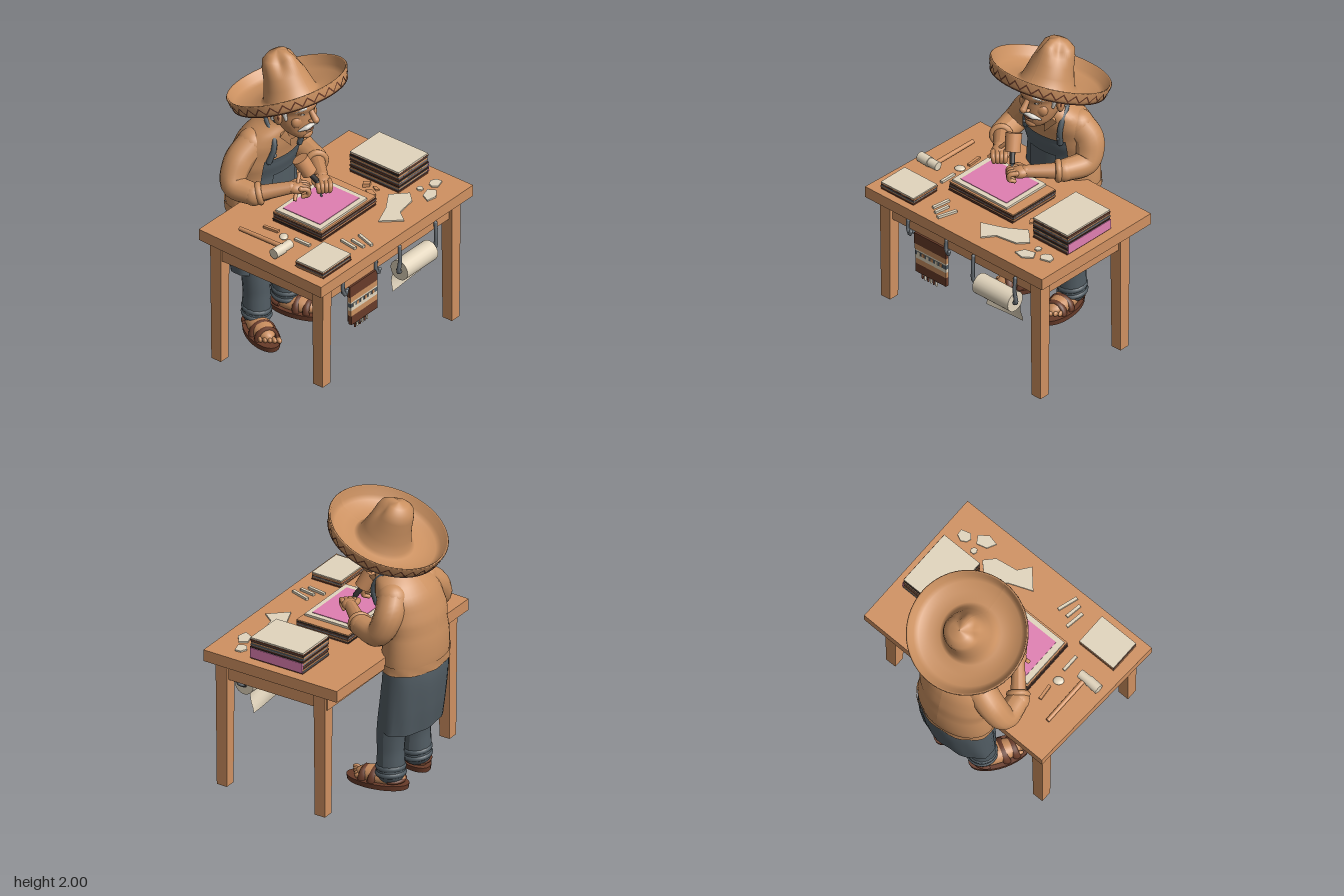
import * as THREE from 'three';

const mat = (name, color, side = THREE.FrontSide) => {
  const m = new THREE.MeshStandardMaterial({ color, side });
  m.name = name;
  return m;
};
const V = (a) => new THREE.Vector3(...a);

export function createModel() {
  const root = new THREE.Group();
  const tan = mat('tan cloth and straw', 0xca9060, THREE.DoubleSide), wood = mat('table wood', 0xd09161);
  const skin = mat('skin', 0xc68b5d), denim = mat('denim', 0x525d64, THREE.DoubleSide);
  const cream = mat('paper cream', 0xe2d5bd, THREE.DoubleSide), pink = mat('pink print', 0xe07fb2);
  const brown = mat('dark brown', 0x683b29, THREE.DoubleSide), dark = mat('near black', 0x33302f);
  const white = mat('white hair', 0xdcd8d0, THREE.DoubleSide), grey = mat('steel grey', 0x6b7278, THREE.DoubleSide);

  let seed = 7;
  const rnd = () => ((seed = (seed * 16807) % 2147483647) / 2147483647) - 0.5;

  // ---------- helpers ----------
  const add = (name, geo, m, p = [0, 0, 0], r = [0, 0, 0], parent = root) => {
    const mesh = new THREE.Mesh(geo, m);
    mesh.name = name;
    mesh.position.set(...p);
    mesh.rotation.set(...r);
    parent.add(mesh);
    return mesh;
  };
  const box = (name, m, x0, x1, y0, y1, z0, z1) =>
    add(name, new THREE.BoxGeometry(x1 - x0, y1 - y0, z1 - z0), m, [(x0 + x1) / 2, (y0 + y1) / 2, (z0 + z1) / 2]);
  const ball = (name, m, p, s, r, parent) => {
    const b = add(name, new THREE.SphereGeometry(1, 24, 16), m, p, r, parent);
    b.scale.set(...s);
    return b;
  };
  const rod = (name, m, a, b, r1, r2 = r1) => {
    const A = V(a), d = V(b).sub(A);
    const c = add(name, new THREE.CylinderGeometry(r2, r1, d.length(), 20), m, A.clone().addScaledVector(d, 0.5).toArray());
    c.quaternion.setFromUnitVectors(new THREE.Vector3(0, 1, 0), d.normalize());
    return c;
  };
  // Tapered tube with ball ends
  const limb = (name, m, pts, radii, parent = root) => {
    const n = 20, k = 14;
    const g = new THREE.TubeGeometry(new THREE.CatmullRomCurve3(pts.map(V)), n, 1, k);
    const P = g.attributes.position, N = g.attributes.normal;
    for (let i = 0; i < P.count; i++) {
      const t = (Math.floor(i / (k + 1)) / n) * (radii.length - 1), j = Math.min(Math.floor(t), radii.length - 2);
      const s = THREE.MathUtils.lerp(radii[j], radii[j + 1], t - j) - 1;
      P.setXYZ(i, P.getX(i) + N.getX(i) * s, P.getY(i) + N.getY(i) * s, P.getZ(i) + N.getZ(i) * s);
    }
    g.computeVertexNormals();
    add(name, g, m, undefined, undefined, parent);
    [0, radii.length - 1].forEach((i) => ball(name + 'End', m, pts[i ? pts.length - 1 : 0], [radii[i], radii[i], radii[i]], undefined, parent));
  };
  // Elliptical sections [y, cx, cz, rx, rz] joined into a skin; angle 0 faces the front
  const loft = (name, m, secs, { a0 = -Math.PI, a1 = Math.PI, off = 0, fold = 0 } = {}) => {
    const mid = new THREE.CatmullRomCurve3(secs.map((s) => new THREE.Vector3(s[1], s[0], s[2])));
    const rad = new THREE.CatmullRomCurve3(secs.map((s) => new THREE.Vector3(s[3], s[4], 0)));
    const n = 40, rows = 24, pos = [], idx = [];
    for (let j = 0; j <= rows; j++) {
      const c = mid.getPoint(j / rows), r = rad.getPoint(j / rows);
      for (let i = 0; i <= n; i++) {
        const a = a0 + ((a1 - a0) * i) / n, f = off + fold * Math.sin(a * 9 + j * 0.12) * (1 - j / rows);
        pos.push(c.x + (r.x + f) * Math.sin(a), c.y, c.z + (r.y + f) * Math.cos(a));
        const q = j * (n + 1) + i;
        if (i < n && j < rows) idx.push(q, q + 1, q + n + 2, q, q + n + 2, q + n + 1);
      }
    }
    const g = new THREE.BufferGeometry();
    g.setAttribute('position', new THREE.Float32BufferAttribute(pos, 3));
    g.setIndex(idx);
    g.computeVertexNormals();
    return add(name, g, m);
  };
  // Flat cut-out lying on the table, outline given as x, z pairs
  const scrap = (name, m, pts, h = 0.01, y = 0.98) => {
    const s = new THREE.Shape(pts.map(([x, z]) => new THREE.Vector2(x, -z)));
    return add(name, new THREE.ExtrudeGeometry(s, { depth: h, bevelEnabled: false }), m, [0, y, 0], [-Math.PI / 2, 0, 0]);
  };
  const stack = (name, x0, x1, z0, z1, y0, y1, n, mats, topMat) => {
    const h = (y1 - y0) / n;
    for (let i = 0; i < n; i++) {
      const top = i === n - 1, dx = top ? 0 : rnd() * 0.008, dz = top ? 0 : rnd() * 0.008;
      box(name, top ? topMat : mats[i % mats.length], x0 + dx, x1 + dx, y0 + i * h, y0 + (i + 1) * h, z0 + dz, z1 + dz);
    }
  };

  // ---------- table ----------
  scrap('tableTop', wood, [[-0.765, 0.635], [0.76, 0.635], [0.76, -0.373], [-0.725, -0.39]], 0.08, 0.9);
  box('tableUnderside', brown, -0.61, 0.62, 0.893, 0.9, -0.21, 0.52);
  // Legs as [x, z, foot height]; one front leg stops short and one back leg stands further back
  for (const [x, z, foot] of [[-0.642, 0.54, 0.16], [-0.638, -0.29, 0.012], [0.655, 0.54, 0.005], [0.655, -0.2, 0.005]]) {
    const leg = add('tableLeg', new THREE.CylinderGeometry(0.062, 0.054, 0.9 - foot, 4, 1, false, Math.PI / 4).toNonIndexed(), wood, [x, (0.9 + foot) / 2, z]);
    leg.geometry.computeVertexNormals();
  }
  for (const z of [0.54, -0.23]) box('tableRail', wood, -0.62, 0.63, 0.77, 0.9, z - 0.02, z + 0.02);
  for (const x of [-0.645, 0.655]) box('tableSideRail', wood, x - 0.025, x + 0.025, 0.77, 0.9, -0.25, 0.56);

  // ---------- things on the table ----------
  stack('middleSheets', -0.35, 0.2, -0.09, 0.3, 0.98, 1.045, 8, [brown, dark, wood, brown, grey], wood);
  box('topSheet', cream, -0.34, 0.13, 1.045, 1.06, -0.08, 0.285);
  box('pinkPrint', pink, -0.3, 0.095, 1.06, 1.064, -0.05, 0.25);
  stack('tallSheets', 0.395, 0.69, -0.07, 0.325, 0.98, 1.13, 14, [brown, grey, wood, dark], cream);
  box('pinkSide', pink, 0.69, 0.698, 0.99, 1.06, -0.07, 0.325);
  stack('smallSheets', -0.68, -0.4, 0.36, 0.58, 0.98, 1.03, 6, [brown, wood, grey], cream);
  rod('hammerHandle', wood, [-0.585, 1.005, -0.17], [-0.585, 1.01, 0.2], 0.014, 0.016);
  rod('hammerHead', cream, [-0.7, 1.02, 0.195], [-0.61, 1.02, 0.2], 0.034);
  rod('hammerNeck', cream, [-0.61, 1.02, 0.2], [-0.54, 1.02, 0.2], 0.03);
  for (const [x, z, len, a] of [[-0.445, -0.03, 0.11, 0.1], [-0.44, 0.22, 0.12, 0], [-0.275, 0.46, 0.13, -0.15], [-0.23, 0.5, 0.11, -0.15], [-0.17, 0.515, 0.14, -0.3]])
    add('smallTool', new THREE.BoxGeometry(0.02, 0.016, len), z < 0 ? wood : cream, [x, 0.988, z], [0, a, 0]);
  scrap('bowScrap', cream, [[0.05, 0.44], [0.16, 0.56], [0.22, 0.48], [0.37, 0.455], [0.43, 0.39], [0.33, 0.295], [0.2, 0.38]]);
  scrap('roundScrap', cream, [[0.43, 0.53], [0.46, 0.47], [0.53, 0.45], [0.56, 0.5], [0.5, 0.545]]);
  scrap('roundScrap', cream, [[0.575, 0.45], [0.585, 0.42], [0.62, 0.4], [0.66, 0.42], [0.665, 0.46], [0.6, 0.48]]);
  scrap('roundScrap', cream, [[0.49, 0.405], [0.5, 0.385], [0.525, 0.385], [0.535, 0.405], [0.52, 0.425], [0.5, 0.425]]);
  scrap('woodScrap', wood, [[0.25, 0.2], [0.28, 0.15], [0.31, 0.18], [0.28, 0.235]]);
  scrap('woodScrap', wood, [[0.3, 0.11], [0.33, 0.09], [0.36, 0.13], [0.33, 0.14]], 0.025);
  scrap('woodScrap', wood, [[0.32, 0.2], [0.34, 0.16], [0.355, 0.18], [0.34, 0.215]]);
  ball('pebble', cream, [-0.46, 0.985, 0.085], [0.035, 0.014, 0.028], [0, 0.6, 0]);

  // ---------- towel and paper roll ----------
  for (const x of [-0.46, -0.13]) limb('towelHook', grey, [[x, 0.83, 0.565], [x, 0.77, 0.567], [x + 0.02, 0.735, 0.57], [x + 0.03, 0.76, 0.572]], [0.012, 0.012]);
  rod('towelBar', grey, [-0.46, 0.755, 0.558], [-0.12, 0.755, 0.558], 0.01);
  const bands = [[0.77, 0.69, brown], [0.69, 0.65, tan], [0.65, 0.64, cream], [0.64, 0.61, denim], [0.61, 0.585, cream], [0.585, 0.545, tan], [0.545, 0.48, brown]];
  for (const [t, b, m] of bands) box('towelBand', m, -0.4 + (0.77 - t) * 0.06, -0.125, b, t, 0.55, 0.574);
  box('towelBack', brown, -0.39, -0.13, 0.5, 0.77, 0.544, 0.55);
  for (let i = 0; i < 6; i++) {
    rod('towelFringe', i % 2 ? cream : brown, [-0.34 + i * 0.024, 0.48, 0.562], [-0.335 + i * 0.024, 0.44, 0.562], 0.007);
    box('towelPattern', i % 2 ? tan : cream, -0.37 + i * 0.038, -0.35 + i * 0.038, 0.613, 0.637, 0.572, 0.577);
  }
  for (const x of [0.105, 0.465]) limb('rollHook', grey, [[x, 0.82, 0.568], [x, 0.72, 0.572], [x, 0.63, 0.56], [x + (x > 0.3 ? -0.04 : 0.04), 0.61, 0.54]], [0.012, 0.013, 0.016]);
  rod('paperRoll', cream, [0.135, 0.615, 0.54], [0.44, 0.615, 0.54], 0.07);
  for (const x of [0.133, 0.442]) rod('rollCore', dark, [x - 0.001, 0.615, 0.54], [x + 0.001, 0.615, 0.54], 0.022);
  const sheet = new THREE.PlaneGeometry(0.3, 0.2, 12, 8);
  for (let i = 0, P = sheet.attributes.position; i < P.count; i++) P.setZ(i, 0.01 * Math.sin(P.getY(i) * 28 + P.getX(i) * 8));
  sheet.computeVertexNormals();
  add('paperSheet', sheet, cream, [0.29, 0.53, 0.482], [0.06, 0, 0]);

  // ---------- body ----------
  const torso = [[0.87, -0.05, -0.43, 0.275, 0.18], [0.95, -0.05, -0.435, 0.275, 0.185], [1.1, -0.05, -0.435, 0.265, 0.18], [1.25, -0.05, -0.41, 0.265, 0.18], [1.36, -0.04, -0.38, 0.255, 0.175], [1.45, -0.03, -0.34, 0.2, 0.15], [1.51, -0.02, -0.3, 0.12, 0.12], [1.55, -0.02, -0.28, 0.09, 0.1]];
  loft('shirt', tan, torso);
  loft('shirtHem', tan, [torso[0], [0.93, -0.05, -0.432, 0.275, 0.182]], { off: 0.01, fold: 0.004 });
  loft('apronBib', denim, torso.slice(0, 4).concat([[1.29, -0.05, -0.4, 0.262, 0.178]]), { a0: -0.72, a1: 0.72, off: 0.012 });
  loft('bibPocket', denim, [[1.0, -0.05, -0.435, 0.275, 0.185], [1.16, -0.05, -0.43, 0.265, 0.18]], { a0: -0.4, a1: 0.4, off: 0.02 });
  limb('neckStrap', denim, [[-0.2, 1.28, -0.245], [-0.175, 1.38, -0.222], [-0.15, 1.46, -0.255], [-0.12, 1.52, -0.33], [-0.02, 1.535, -0.4], [0.08, 1.52, -0.33], [0.11, 1.46, -0.255], [0.115, 1.38, -0.222], [0.1, 1.28, -0.24]], [0.02, 0.017, 0.015, 0.017, 0.02]);
  for (const x of [-0.18, 0.11]) ball('strapButton', grey, [x, 1.33, -0.21], [0.013, 0.013, 0.007]);
  loft('apronSkirt', denim, [[0.43, -0.05, -0.41, 0.275, 0.15], [0.6, -0.05, -0.425, 0.275, 0.165], [0.8, -0.05, -0.435, 0.27, 0.178], [0.91, -0.05, -0.435, 0.265, 0.175]], { fold: 0.005 });
  add('skirtLining', new THREE.CircleGeometry(1, 32), brown, [-0.05, 0.5, -0.415], [Math.PI / 2, 0, 0]).scale.set(0.27, 0.15, 1);
  for (const s of [-1, 1]) {
    add('collar', new THREE.ConeGeometry(0.06, 0.13, 3), tan, [-0.02 + s * 0.065, 1.42, -0.19], [Math.PI - 0.25, 0, s * 0.35]).scale.z = 0.35;
    const x = -0.045 + s * 0.15;
    limb('trouserLeg', denim, [[x + s * -0.01, 0.72, -0.4], [x, 0.4, -0.355], [x, 0.12, -0.35]], [0.11, 0.102, 0.096, 0.088, 0.094]);
    for (const [y, r] of [[0.105, 0.08], [0.15, 0.078]]) add('trouserCuff', new THREE.TorusGeometry(r, 0.022, 10, 28), denim, [x, y, -0.35], [Math.PI / 2 + 0.1, s * 0.08, 0]);
    // Sandalled foot
    const foot = new THREE.Group();
    foot.name = 'foot';
    foot.position.set(s < 0 ? -0.265 : 0.11, 0, -0.255);
    foot.rotation.y = s < 0 ? -0.5 : 0.18;
    root.add(foot);
    add('sole', new THREE.CylinderGeometry(1, 0.97, 0.035, 32), brown, [0, 0.018, 0], undefined, foot).scale.set(0.1, 1, 0.213);
    ball('footBody', skin, [0, 0.06, -0.02], [0.075, 0.06, 0.17], undefined, foot);
    for (let i = 0; i < 5; i++) ball('toe', skin, [s * (-0.052 + i * 0.027), 0.053, 0.165 - i * 0.014], [0.017 - i * 0.001, 0.019, 0.028], undefined, foot);
    for (const [z, r] of [[0.09, 0.068], [0.02, 0.078]]) add('sandalStrap', new THREE.TorusGeometry(r, 0.016, 8, 24, Math.PI), brown, [0, 0.03, z], [-0.2, 0, 0], foot).scale.z = 1.6;
    add('heelStrap', new THREE.TorusGeometry(0.077, 0.014, 8, 24, Math.PI), brown, [0, 0.06, -0.1], [-Math.PI / 2, 0, 0], foot);
  }

  // ---------- arms, hands and tools ----------
  limb('rightSleeve', tan, [[-0.2, 1.37, -0.38], [-0.32, 1.28, -0.4], [-0.4, 1.16, -0.37], [-0.385, 1.14, -0.22]], [0.1, 0.095, 0.083, 0.073]);
  limb('leftSleeve', tan, [[0.13, 1.37, -0.38], [0.205, 1.28, -0.4], [0.235, 1.15, -0.34], [0.19, 1.14, -0.18]], [0.1, 0.095, 0.083, 0.072]);
  const arms = [['right', [-0.385, 1.14, -0.22], [-0.235, 1.19, -0.04], 0.75], ['left', [0.19, 1.14, -0.18], [0.03, 1.15, 0.0], -0.75]];
  for (const [side, a, b, yaw] of arms) {
    limb(side + 'Forearm', skin, [a, b], [0.055, 0.04]);
    const cuff = add(side + 'Cuff', new THREE.TorusGeometry(0.056, 0.022, 10, 24), tan, V(a).lerp(V(b), 0.15).toArray());
    cuff.lookAt(V(b));
    const hand = new THREE.Group();
    hand.name = side + 'Hand';
    hand.position.set(...b);
    hand.rotation.set(0.1, yaw, 0, 'YXZ');
    root.add(hand);
    ball('palm', skin, [0, 0, 0.035], [0.052, 0.038, 0.06], undefined, hand);
    for (let i = 0; i < 4; i++) {
      const x = -0.04 + i * 0.026;
      limb('finger', skin, [[x, 0.015, 0.06], [x, 0.01, 0.105], [x * 0.9, -0.025, 0.112], [x * 0.8, -0.045, 0.08]], [0.017, 0.016, 0.013], hand);
    }
    const t = side === 'left' ? -1 : 1;
    limb('thumb', skin, [[t * 0.03, 0.01, 0.01], [t * 0.06, 0.015, 0.05], [t * 0.045, 0, 0.09]], [0.02, 0.017, 0.014], hand);
  }
  rod('malletHead', wood, [-0.125, 1.345, -0.055], [-0.09, 1.24, -0.005], 0.054, 0.05);
  rod('malletHandle', dark, [-0.095, 1.245, -0.01], [-0.06, 1.18, 0.03], 0.018);
  rod('malletTip', grey, [-0.06, 1.18, 0.03], [-0.05, 1.07, 0.06], 0.012, 0.006);
  rod('carvingStick', wood, [-0.27, 1.13, 0.02], [-0.16, 1.27, -0.03], 0.012);

  // ---------- head ----------
  loft('neck', skin, [[1.4, -0.02, -0.27, 0.09, 0.09], [1.56, -0.01, -0.23, 0.085, 0.09]]);
  loft('head', skin, [[1.435, -0.01, -0.13, 0.01, 0.01], [1.445, -0.01, -0.135, 0.055, 0.055], [1.49, -0.01, -0.165, 0.098, 0.1], [1.56, -0.01, -0.19, 0.122, 0.132], [1.64, -0.01, -0.205, 0.13, 0.145], [1.73, -0.01, -0.215, 0.13, 0.145], [1.8, -0.01, -0.22, 0.11, 0.12]]);
  loft('backHair', grey, [[1.54, -0.01, -0.21, 0.115, 0.13], [1.63, -0.01, -0.215, 0.135, 0.155], [1.76, -0.01, -0.225, 0.13, 0.15]], { a0: 1.55, a1: 4.73, off: 0.012, fold: 0.004 });
  limb('nose', skin, [[-0.01, 1.665, -0.07], [-0.01, 1.625, -0.042], [-0.01, 1.593, -0.018]], [0.015, 0.019, 0.023]);
  limb('mouth', brown, [[-0.045, 1.515, -0.07], [-0.01, 1.513, -0.06], [0.025, 1.515, -0.07]], [0.006, 0.008, 0.006]);
  ball('lowerLip', skin, [-0.01, 1.502, -0.068], [0.035, 0.012, 0.016]);
  ball('chin', skin, [-0.01, 1.465, -0.09], [0.045, 0.03, 0.03]);
  for (const s of [-1, 1]) {
    const f = (x, y, z) => [-0.01 + s * x, y, z];
    ball('nostril', skin, f(0.02, 1.585, -0.04), [0.014, 0.012, 0.018]);
    ball('cheek', skin, f(0.06, 1.58, -0.115), [0.055, 0.05, 0.036]);
    ball('eyeWhite', white, f(0.052, 1.64, -0.083), [0.02, 0.011, 0.013]);
    ball('pupil', dark, f(0.05, 1.639, -0.074), [0.01, 0.01, 0.006]);
    limb('upperLid', skin, [f(0.026, 1.647, -0.073), f(0.052, 1.656, -0.073), f(0.08, 1.645, -0.092)], [0.008, 0.01, 0.008]);
    limb('eyebrow', white, [f(0.025, 1.675, -0.062), f(0.06, 1.69, -0.066), f(0.1, 1.665, -0.1)], [0.011, 0.015, 0.007]);
    limb('moustache', white, [f(0.0, 1.553, -0.045), f(0.04, 1.545, -0.052), f(0.085, 1.522, -0.088)], [0.014, 0.017, 0.006]);
    ball('ear', skin, f(0.145, 1.605, -0.21), [0.023, 0.052, 0.036], [0, s * 0.3, 0]);
    ball('earHollow', brown, f(0.159, 1.612, -0.198), [0.009, 0.026, 0.016], [0, s * 0.3, 0]);
    limb('sideburn', white, [f(0.13, 1.71, -0.17), f(0.134, 1.65, -0.165), f(0.126, 1.6, -0.16)], [0.025, 0.018, 0.01]);
    limb('sideHair', white, [f(0.135, 1.71, -0.22), f(0.152, 1.66, -0.245), f(0.142, 1.58, -0.255)], [0.026, 0.026, 0.014]);
  }

  // ---------- hat ----------
  const hat = new THREE.Group();
  hat.name = 'hat';
  hat.position.set(0, 1.705, -0.235);
  hat.rotation.x = -0.36;
  root.add(hat);
  const profile = [[0.001, -0.04], [0.16, -0.045], [0.3, -0.025], [0.36, -0.005], [0.377, 0.004], [0.385, 0.03], [0.398, 0.08], [0.393, 0.087], [0.384, 0.082], [0.362, 0.03], [0.335, 0.008], [0.27, -0.008], [0.2, -0.012], [0.175, 0.005], [0.155, 0.07], [0.137, 0.14], [0.127, 0.21], [0.112, 0.26], [0.068, 0.293], [0.001, 0.302]];
  const hatGeo = new THREE.LatheGeometry(profile.map(([r, y]) => new THREE.Vector2(r, y)), 72);
  // Press two dents into the front of the crown
  for (let i = 0, P = hatGeo.attributes.position; i < P.count; i++) {
    const p = new THREE.Vector3().fromBufferAttribute(P, i);
    if (p.y < 0.1) continue;
    for (const s of [-1, 1]) {
      const d = p.distanceTo(new THREE.Vector3(s * 0.085, 0.25, 0.07));
      const k = 1 - 0.32 * Math.exp(-d * d / 0.003);
      p.x *= k; p.z *= k; p.y -= (1 - k) * 0.1;
    }
    P.setXYZ(i, p.x, p.y, p.z);
  }
  hatGeo.computeVertexNormals();
  add('straw', hatGeo, tan, undefined, undefined, hat);
  // Zigzag ribbon round the rim
  const n = 60, pos = [], idx = [];
  for (let i = 0; i <= n; i++) for (const e of [-0.007, 0.007]) {
    const y = 0.018 + (i % 2) * 0.046 + e, r = 0.382 + y * 0.24, a = (i / n) * Math.PI * 2;
    pos.push(r * Math.sin(a), y, r * Math.cos(a));
    const q = i * 2;
    if (i < n && e > 0) idx.push(q, q + 2, q + 3, q, q + 3, q + 1);
  }
  const zig = new THREE.BufferGeometry();
  zig.setAttribute('position', new THREE.Float32BufferAttribute(pos, 3));
  zig.setIndex(idx);
  zig.computeVertexNormals();
  add('rimZigzag', zig, brown, undefined, undefined, hat);
  add('rimEdge', new THREE.TorusGeometry(0.376, 0.004, 6, 72), brown, [0, 0.003, 0], [Math.PI / 2, 0, 0], hat);

  return root;
}
